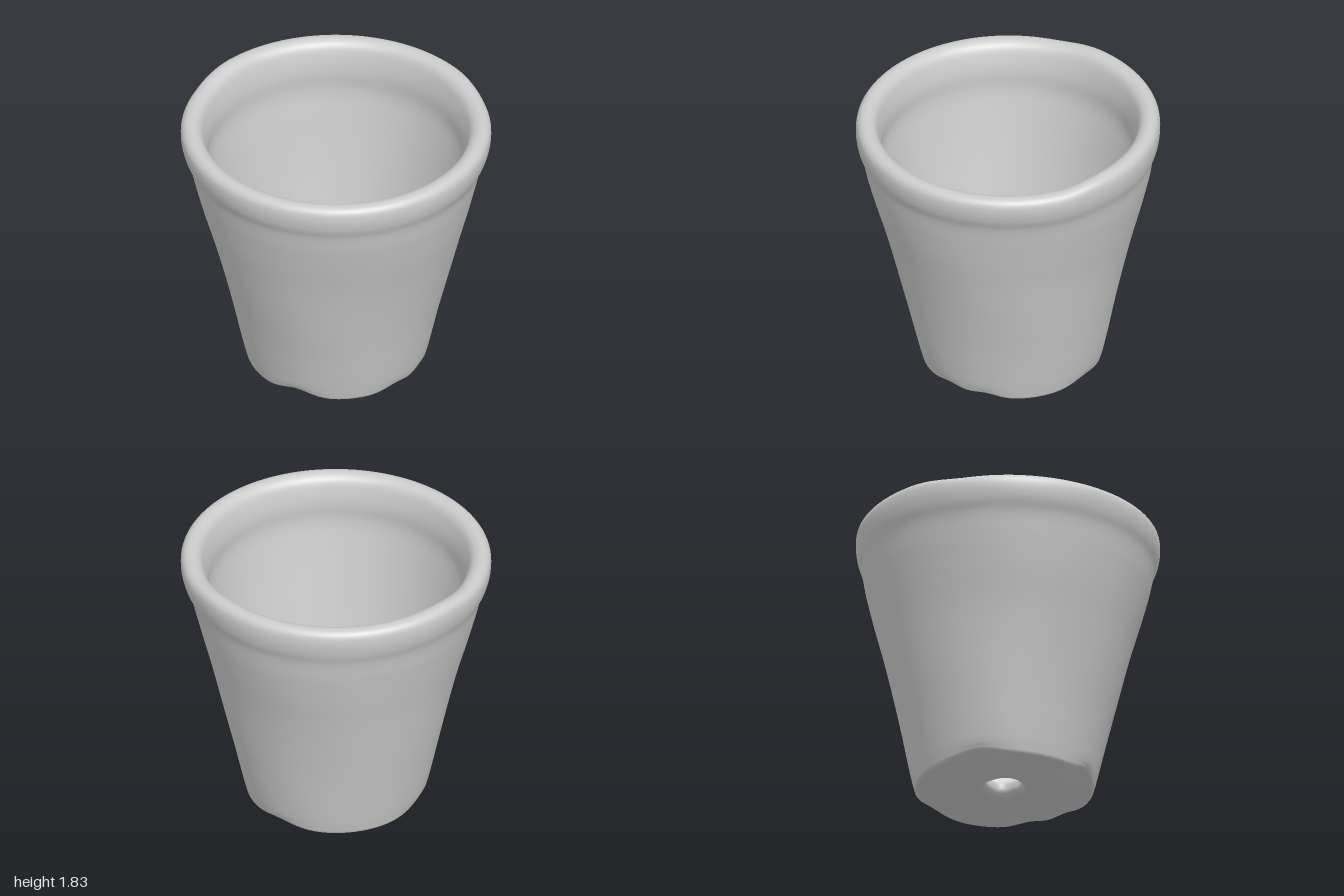
import * as THREE from 'three';
import { mergeVertices } from 'three/addons/utils/BufferGeometryUtils.js';

// Smooth bump of angle around the pot's axis (0 = front, positive towards +x)
function bump(angle, centre, width) {
  const d = Math.atan2(Math.sin(angle - centre), Math.cos(angle - centre));
  return Math.exp(-((d / width) ** 2));
}

// Worn notches along the foot: [angle, width, height]
const NOTCHES = [
  [-0.4, 0.24, 0.045], [0.8, 0.22, 0.03], [1.25, 0.2, 0.03],
  [2.5, 0.28, 0.03], [-1.9, 0.3, 0.035],
];

// Closed wall section: underside, outer wall, rolled rim, inner wall, floor, drain hole
const SECTION = [
  [0.115, 0.05], [0.15, 0.02], [0.3, 0.015], [0.45, 0.006], [0.54, 0.0],
  [0.572, 0.008], [0.585, 0.045], [0.621, 0.2], [0.664, 0.4], [0.71, 0.6],
  [0.757, 0.8], [0.806, 1.0], [0.86, 1.2], [0.91, 1.4], [0.947, 1.55],
  [0.982, 1.63], [0.998, 1.71], [0.992, 1.765], [0.965, 1.793], [0.92, 1.797],
  [0.875, 1.77], [0.845, 1.7], [0.824, 1.6], [0.822, 1.48], [0.79, 1.3],
  [0.72, 0.95], [0.645, 0.6], [0.575, 0.29], [0.545, 0.2], [0.48, 0.15],
  [0.35, 0.138], [0.16, 0.134], [0.122, 0.115], [0.112, 0.085],
];

function wear(geometry) {
  const p = geometry.attributes.position;
  for (let i = 0; i < p.count; i++) {
    let x = p.getX(i), y = p.getY(i), z = p.getZ(i);
    const a = Math.atan2(x, z), r = Math.hypot(x, z);
    const low = 1 - THREE.MathUtils.smoothstep(y, 0.0, 0.1);
    const outer = THREE.MathUtils.smoothstep(r, 0.3, 0.55);
    // Notched foot
    let lift = 0;
    for (const [c, w, h] of NOTCHES) lift += h * bump(a, c, w);
    // Rim that stands higher along the back
    const back = THREE.MathUtils.smoothstep(-z, 0.3, 0.65);
    const high = THREE.MathUtils.smoothstep(y, 1.4, 1.8);
    const top = high * (0.03 * back - 0.006 * Math.max(0, z));
    // Gentle hand-made waviness of the wall
    const wave = r > 0.3 ? 0.004 * Math.sin(3 * a + 4 * y) * Math.sin(Math.PI * y / 1.8) : 0;
    const lean = -0.024 * (1 - THREE.MathUtils.smoothstep(y, 0, 1.5));
    const depth = 1 - 0.022 * high;
    // Slightly irregular drain hole
    const hole = r < 0.2 ? 0.006 * Math.sin(4 * a + 1) : 0;
    const k = 1 + (wave + hole) / r;
    x *= k;
    z = z * k * depth + lean;
    p.setXYZ(i, x, y + low * outer * lift + top, z);
  }
}

export function createModel() {
  const group = new THREE.Group();
  group.name = 'flowerPot';

  const loop = new THREE.CatmullRomCurve3(
    SECTION.map(([r, y]) => new THREE.Vector3(r, y, 0)), true);
  const profile = loop.getPoints(SECTION.length * 4).map(v => new THREE.Vector2(v.x, v.y));

  let geometry = new THREE.LatheGeometry(profile, 128);
  geometry.deleteAttribute('uv');
  geometry.deleteAttribute('normal');
  geometry = mergeVertices(geometry, 1e-5); // weld the seam for smooth shading
  wear(geometry);
  geometry.computeVertexNormals();

  const pot = new THREE.Mesh(geometry, new THREE.MeshStandardMaterial({ color: 0xcccccc }));
  pot.name = 'potBody';
  group.add(pot);
  return group;
}
